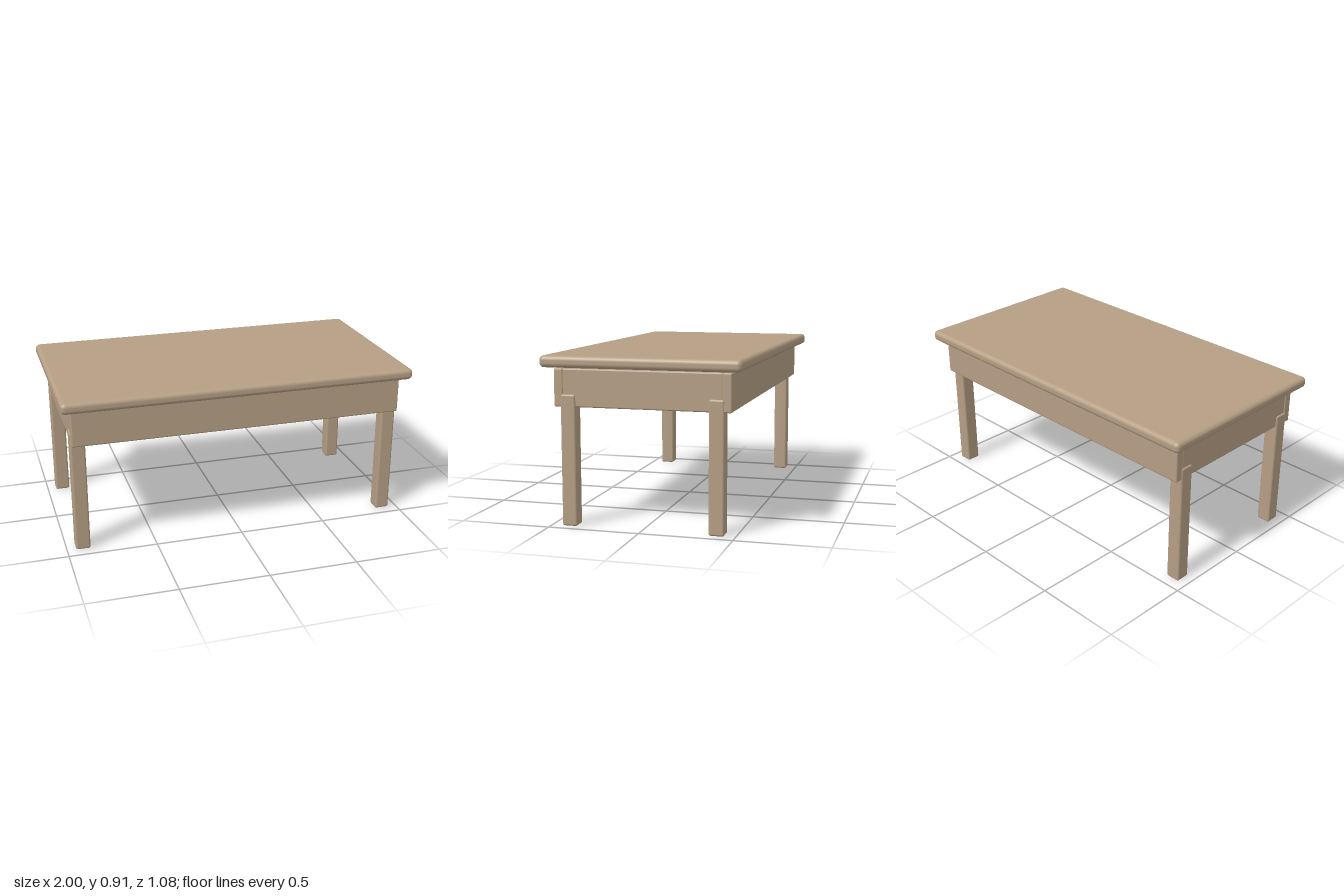
import * as THREE from 'three';
import { RoundedBoxGeometry } from 'three/addons/geometries/RoundedBoxGeometry.js';

export function createModel() {
  const table = new THREE.Group();
  table.name = 'table';
  const wood = new THREE.MeshStandardMaterial({ color: 0xb59e84 });
  wood.name = 'light wood';

  // Softly rounded board given by its minimum and maximum corners
  function board(name, min, max, radius) {
    const size = max.map((v, i) => v - min[i]);
    const mesh = new THREE.Mesh(new RoundedBoxGeometry(...size, 4, radius), wood);
    mesh.position.set(...max.map((v, i) => (v + min[i]) / 2));
    mesh.name = name;
    table.add(mesh);
  }

  // Table top, floating a hair above the aprons
  board('tableTop', [-1, 0.847, -0.54], [1, 0.91, 0.54], 0.025);

  // Long aprons along the front and back
  board('frontApron', [-0.945, 0.638, 0.428], [0.945, 0.84, 0.478], 0.008);
  board('backApron', [-0.945, 0.638, -0.478], [0.945, 0.84, -0.428], 0.008);

  // Short aprons fitted between the long ones, and the four legs
  for (const [side, sx] of [['left', 1], ['right', -1]]) {
    const x = sx * 0.917;
    board(side + 'Apron', [x - 0.025, 0.638, -0.432], [x + 0.025, 0.84, 0.432], 0.008);
    for (const [end, sz] of [['Front', 1], ['Back', -1]]) {
      const lx = sx * 0.909, lz = sz * 0.4;
      board(side + end + 'Leg', [lx - 0.041, 0, lz - 0.041], [lx + 0.041, 0.705, lz + 0.041], 0.011);
    }
  }
  return table;
}
